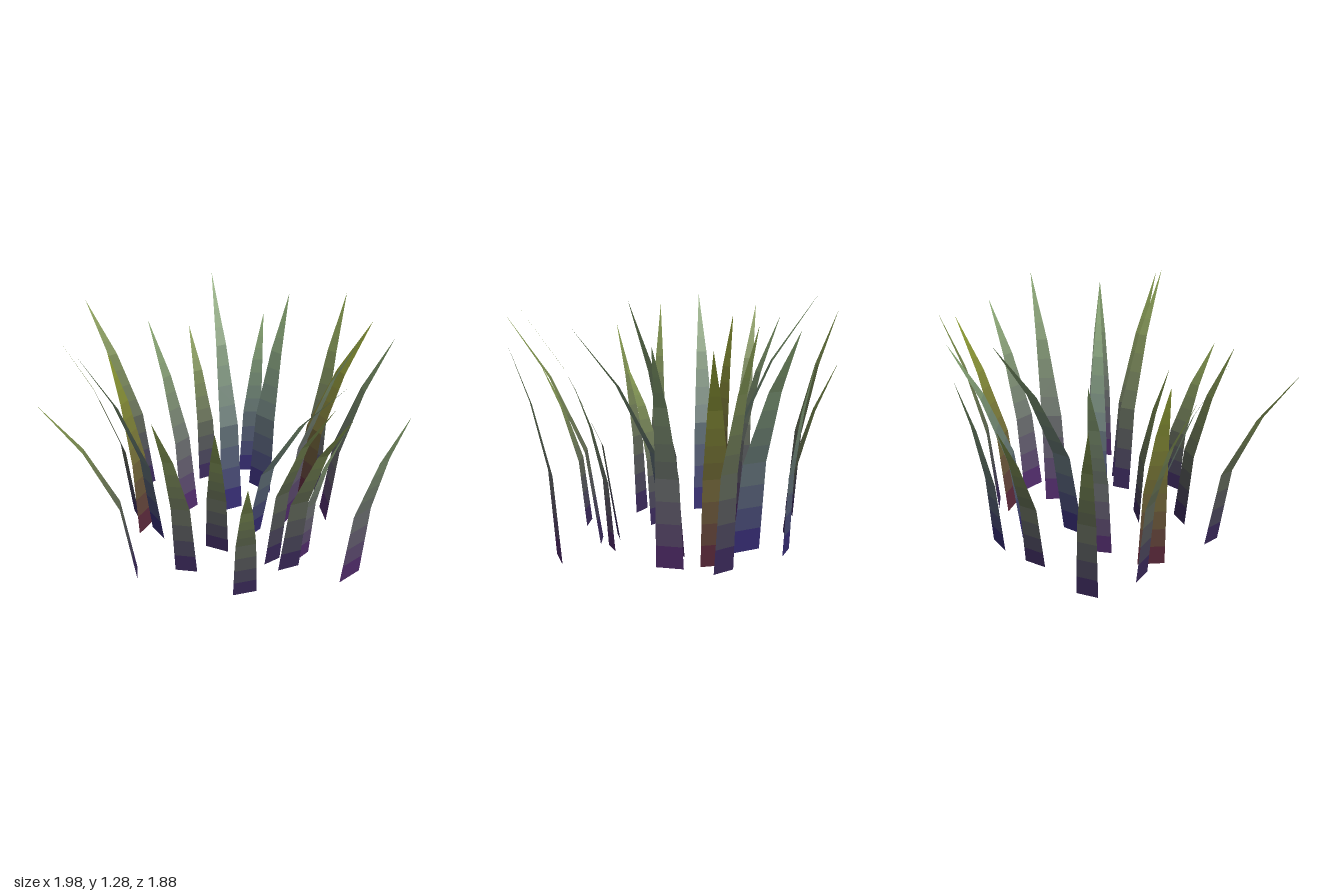
import * as THREE from 'three';

// Colour ramps, root to tip
const RAMPS = [
  [0x2b1070, 0x86a46c], // indigo to sage
  [0x4a0f68, 0x86a46c], // violet to sage
  [0x55103a, 0x8a9a30], // plum to olive
  [0x301058, 0x84994a], // dark violet to leaf green
];

// Each blade: root edge (x, z, x, z), tip (x, z), height, ramp
const FRONT_BLADES = [
  [0.51, -0.09, 0.46, 0.02, 0.915, 0.105, 1.18, 3],
  [0.395, -0.065, 0.375, 0.035, 0.845, 0.145, 1.22, 3],
  [0.485, 0.22, 0.42, 0.33, 0.65, 0.485, 0.87, 3],
  [0.16, 0.095, 0.035, 0.145, 0.23, 0.27, 0.88, 3],
  [0.155, 0.33, 0.06, 0.40, 0.16, 0.61, 1.06, 3],
  [-0.11, 0.525, -0.035, 0.59, -0.25, 0.94, 1.13, 3],
  [-0.30, 0.24, -0.175, 0.265, -0.36, 0.61, 1.21, 0],
  [-0.345, 0.19, -0.31, 0.33, -0.46, 0.35, 1.11, 2],
  [-0.5, 0.205, -0.395, 0.25, -0.68, 0.485, 1.15, 3],
  [-0.63, -0.08, -0.65, 0.035, -0.99, 0.065, 1.14, 3],
  [-0.27, -0.09, -0.27, -0.04 + 0.08, -0.56, -0.02, 1.13, 1],
];
const BACK_BLADES = [
  [-0.075, -0.265, -0.125, -0.145, -0.52, -0.47, 1.28, 0],
  [-0.41, -0.40, -0.45, -0.285, -0.67, -0.43, 0.92, 3],
  [-0.255, -0.62, -0.345, -0.53, -0.355, -0.73, 1.0, 0],
  [-0.045, -0.48, -0.205, -0.47, -0.225, -0.80, 1.14, 0],
  [0.045, -0.675, 0.16, -0.70, 0.07, -0.945, 1.19, 3],
  [0.025, -0.615, 0.175, -0.585, 0.275, -0.925, 1.09, 2],
  [0.26, -0.58, 0.37, -0.50, 0.505, -0.80, 1.11, 1],
  [0.19, -0.43, 0.215, -0.30, 0.515, -0.55, 1.28, 1],
  [0.15, -0.18, 0.15, -0.055, 0.67, -0.19, 1.13, 0],
  [0.475, -0.215, 0.475, -0.115, 0.67, -0.19, 0.87, 1],
  [0.77, -0.285, 0.755, -0.135, 0.99, -0.245, 1.08, 1],
];

// Bend of every blade: [lean, rise] at its joints
const JOINTS = [[0, 0], [0.16, 0.41], [0.54, 0.735], [1, 1]];
const BANDS = 4; // colour bands per segment

// Rows of [lean, rise] with every segment divided into bands
const ROWS = [];
for (let s = 0; s < 3; s++) {
  for (let b = 0; b < BANDS; b++) {
    const mix = (i) => THREE.MathUtils.lerp(JOINTS[s][i], JOINTS[s + 1][i], b / BANDS);
    ROWS.push([mix(0), mix(1)]);
  }
}
ROWS.push(JOINTS[3]);

// One material for each band of a ramp
function rampMaterials([root, tip]) {
  return ROWS.slice(1).map((row, i) => {
    const t = (row[1] + ROWS[i][1]) / 2;
    const color = new THREE.Color(root).lerp(new THREE.Color(tip), t);
    return new THREE.MeshStandardMaterial({ color, side: THREE.DoubleSide, flatShading: true });
  });
}

// A flat, tapering blade that folds outward at its joints
function bladeGeometry([ax, az, bx, bz, tx, tz, height]) {
  const tip = new THREE.Vector3(tx, 0, tz);
  const point = (x, z, [lean, rise]) =>
    new THREE.Vector3(x, 0, z).lerp(tip, lean).setY(rise * height);
  const corners = [];
  const geometry = new THREE.BufferGeometry();
  for (let i = 0; i < ROWS.length - 1; i++) {
    const a = point(ax, az, ROWS[i]), b = point(bx, bz, ROWS[i]);
    const c = point(bx, bz, ROWS[i + 1]), d = point(ax, az, ROWS[i + 1]);
    const start = corners.length;
    corners.push(a, b, c);
    if (i < ROWS.length - 2) corners.push(a, c, d);
    geometry.addGroup(start, corners.length - start, i);
  }
  geometry.setFromPoints(corners);
  geometry.computeVertexNormals();
  return geometry;
}

export function createModel() {
  const model = new THREE.Group();
  model.name = 'grassTuft';
  const materials = RAMPS.map(rampMaterials);

  const addBlades = (name, blades) => {
    const group = new THREE.Group();
    group.name = name;
    blades.forEach((blade, i) => {
      const mesh = new THREE.Mesh(bladeGeometry(blade), materials[blade[7]]);
      mesh.name = `grassBlade${i + 1}`;
      group.add(mesh);
    });
    model.add(group);
  };
  addBlades('frontBlades', FRONT_BLADES);
  addBlades('backBlades', BACK_BLADES);
  return model;
}
